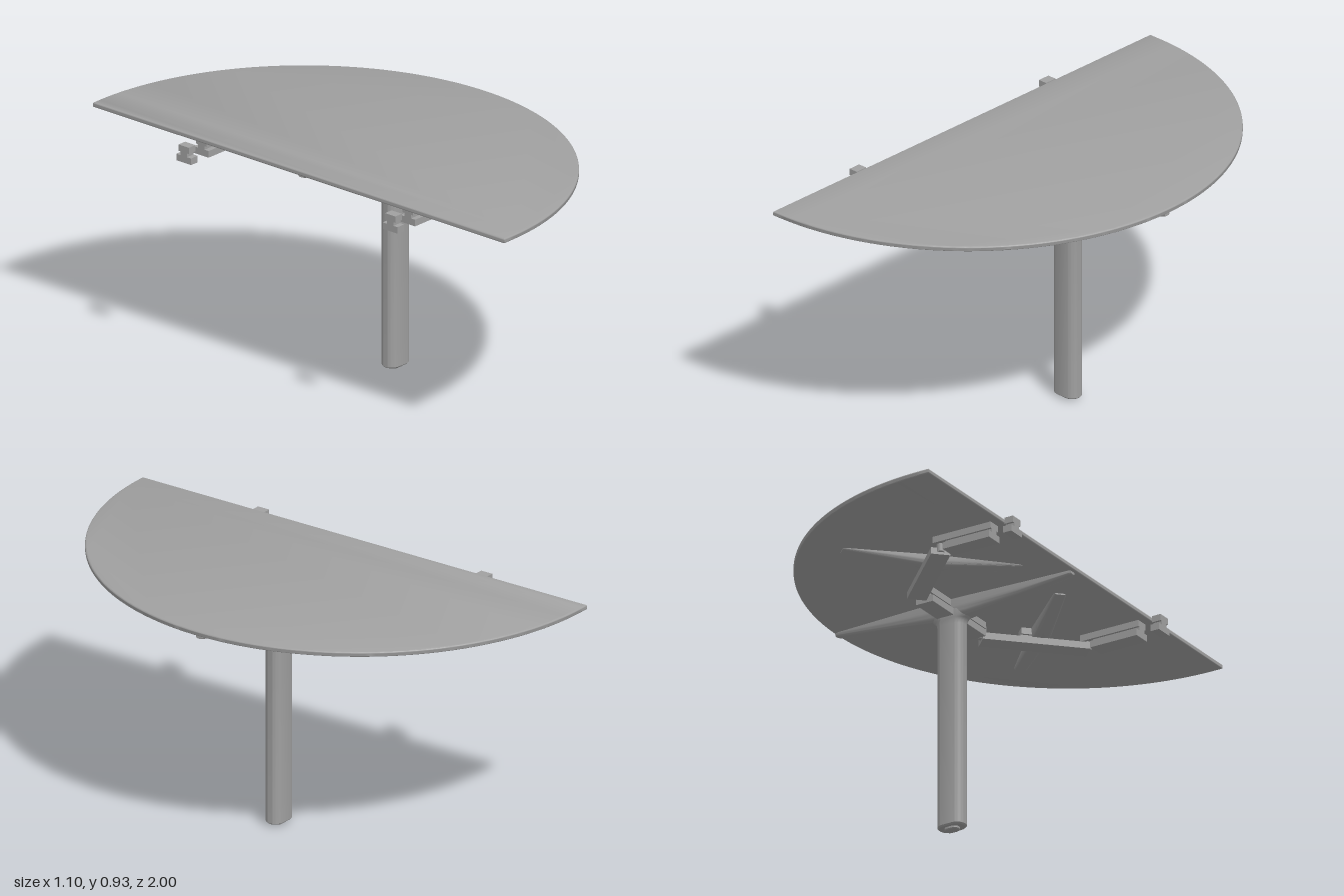
import * as THREE from 'three';
import { toCreasedNormals } from 'three/addons/utils/BufferGeometryUtils.js';

const grey = new THREE.MeshStandardMaterial({ color: 0xa0a0a0 });
grey.name = 'grey';
const UNDERSIDE = 0.911; // underside height of the top

function add(parent, name, geometry, x = 0, y = 0, z = 0) {
  const mesh = new THREE.Mesh(geometry, grey);
  mesh.name = name;
  mesh.position.set(x, y, z);
  parent.add(mesh);
  return mesh;
}

// Skin a row of equal-length rings and close both ends
function loft(rings) {
  const n = rings[0].length, pos = [], index = [];
  rings.forEach((ring) => ring.forEach((p) => pos.push(...p)));
  for (let i = 0; i < rings.length - 1; i++) {
    for (let j = 0; j < n; j++) {
      const k = (j + 1) % n, a = i * n, b = a + n;
      index.push(a + j, a + k, b + k, a + j, b + k, b + j);
    }
  }
  const last = (rings.length - 1) * n;
  for (let j = 1; j < n - 1; j++) {
    index.push(0, j + 1, j, last, last + j, last + j + 1);
  }
  const g = new THREE.BufferGeometry();
  g.setAttribute('position', new THREE.Float32BufferAttribute(pos, 3));
  g.setIndex(index);
  return toCreasedNormals(g, 0.7);
}

// Support arm along x with a rounded belly: stations are [x, halfWidth, bottomY]
function armGeometry(stations) {
  return loft(stations.map(([x, w, bottom]) => {
    const ring = [];
    for (let i = 0; i <= 16; i++) {
      const t = (i / 16) * Math.PI, c = Math.cos(t), s = Math.max(0, Math.sin(t));
      ring.push([x, UNDERSIDE - (UNDERSIDE - bottom) * s ** 0.5, w * Math.sign(c) * Math.abs(c) ** 0.5]);
    }
    return ring;
  }));
}

// Upright oval column: levels are [y, growX, growZ]
function columnGeometry(levels, straight, radius) {
  return loft(levels.map(([y, gx, gz]) => {
    const ring = [];
    for (let i = 0; i < 40; i++) {
      const t = ((i + 0.5) / 40) * Math.PI * 2, c = Math.cos(t);
      ring.push([Math.sign(c) * straight + (radius + gx) * c, y, -(radius + gz) * Math.sin(t)]);
    }
    return ring;
  }));
}

// Two-tier rail: broad foot, narrow neck, smaller head
function rail(parent, name, x, z, angle, footLength, headLength, headShift = 0) {
  const g = new THREE.Group();
  g.name = name;
  g.position.set(x, 0, z);
  g.rotation.y = angle;
  add(g, 'railFoot', new THREE.BoxGeometry(footLength, 0.026, 0.072), 0, 0.858, 0);
  add(g, 'railNeck', new THREE.BoxGeometry(Math.min(footLength, headLength), 0.02, 0.032), 0, 0.878, 0);
  add(g, 'railHead', new THREE.BoxGeometry(headLength, 0.025, 0.05), headShift, 0.8975, 0);
  parent.add(g);
}

export function createModel() {
  const model = new THREE.Group();
  model.name = 'halfRoundTable';

  // Half-round top with eased edges
  const bevel = 0.006, r = 1 - bevel, cx = -0.455;
  const outline = new THREE.Shape();
  outline.moveTo(-0.487 + bevel, -r);
  outline.lineTo(cx, -r);
  outline.absarc(cx, 0, r, -Math.PI / 2, Math.PI / 2, false);
  outline.lineTo(-0.487 + bevel, r);
  outline.closePath();
  const top = new THREE.ExtrudeGeometry(outline, {
    depth: 0.008, bevelEnabled: true, bevelThickness: bevel, bevelSize: bevel,
    bevelSegments: 4, curveSegments: 80,
  });
  top.rotateX(-Math.PI / 2);
  add(model, 'tableTop', toCreasedNormals(top, 0.6), 0, 0.91 + bevel, 0);

  // Oval leg flaring into its support, on a small glide
  add(model, 'leg', columnGeometry([
    [0.01, -0.005, -0.005], [0.015, 0, 0], [0.815, 0, 0], [0.828, 0.002, 0.001],
    [0.838, 0.008, 0.002], [0.845, 0.02, 0.003], [0.87, 0.03, 0.003],
  ], 0.021, 0.036), 0.045, 0, 0);
  add(model, 'footGlide', columnGeometry([[0, -0.003, -0.003], [0.003, 0, 0], [0.012, 0, 0]], 0.01, 0.02), 0.045, 0, 0);

  // Main arm from the straight edge to the curved edge
  add(model, 'mainArm', armGeometry([
    [-0.475, 0.012, 0.9], [-0.465, 0.018, 0.896], [-0.25, 0.026, 0.868], [-0.03, 0.037, 0.843],
    [0.045, 0.039, 0.838], [0.12, 0.037, 0.843], [0.33, 0.027, 0.87],
    [0.525, 0.018, 0.895], [0.541, 0.012, 0.9],
  ]));

  for (const side of [-1, 1]) {
    // Slanted side arm, thickest in the middle
    const arm = add(model, 'sideArm', armGeometry([
      [-0.335, 0.02, 0.905], [-0.325, 0.024, 0.902], [-0.04, 0.036, 0.87],
      [0.04, 0.036, 0.87], [0.325, 0.024, 0.902], [0.335, 0.02, 0.905],
    ]), -0.1, 0, side * 0.37);
    arm.rotation.y = -side * Math.PI / 4;

    // Chain of rails around the leg
    rail(model, 'straightRail', -0.355, side * 0.502, 0, 0.2, 0.25, 0.025);
    rail(model, 'slantedRail', -0.082, side * 0.36, side * Math.PI / 4, 0.4, 0.11);
    rail(model, 'centreRail', 0.05, side * 0.1, Math.PI / 2, 0.16, 0.2);

    // Pins joining the rails
    for (const [x, z] of [[-0.222, 0.5], [0.05, 0.215]]) {
      add(model, 'hingePin', new THREE.CylinderGeometry(0.014, 0.014, 0.05, 20), x, 0.88, side * z);
    }

    // Separate coupling beyond the straight edge
    rail(model, 'coupling', -0.533, side * 0.502, 0, 0.036, 0.036);
  }
  return model;
}
